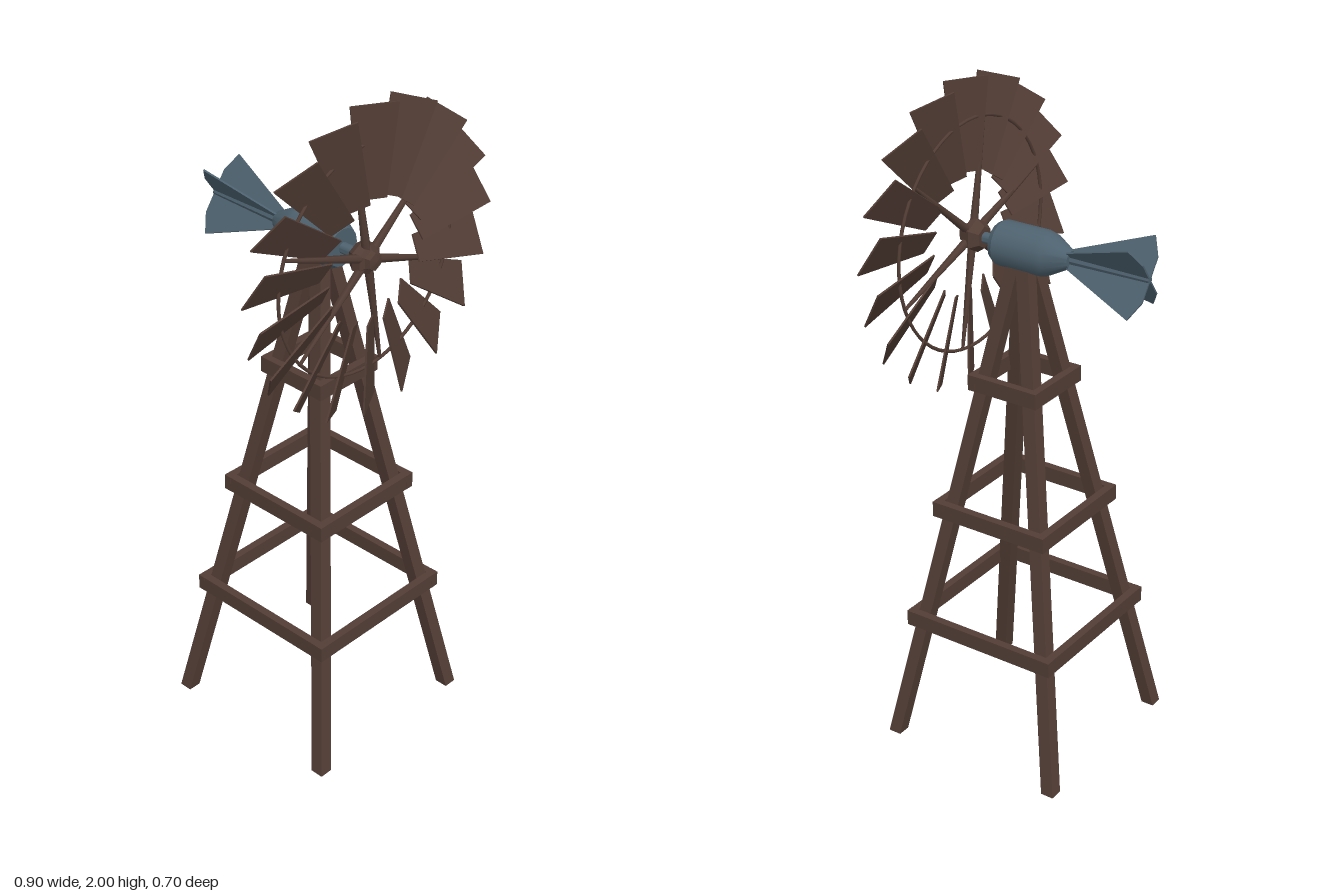
import * as THREE from 'three';
import { toCreasedNormals } from 'three/addons/utils/BufferGeometryUtils.js';

const HUB_Y = 1.555;   // height of the wheel axis
const TOWER_Z = 0.05;  // tower centre line
const WHEEL_Z = 0.238; // middle plane of the blades

const flat = (color, name) => {
  const m = new THREE.MeshStandardMaterial({ color });
  m.name = name;
  return m;
};

// Thin plate cut from an outline, centred on its own plane
function plate(points, thickness) {
  const shape = new THREE.Shape(points.map(([x, y]) => new THREE.Vector2(x, y)));
  return new THREE.ExtrudeGeometry(shape, { depth: thickness, bevelEnabled: false })
    .translate(0, 0, -thickness / 2);
}

// Turned profile of [radius, z] pairs, lying along the z axis
function turned(profile, sides, crease = 0.5) {
  const g = new THREE.LatheGeometry(profile.map(([r, z]) => new THREE.Vector2(r, z)), sides);
  return toCreasedNormals(g.rotateX(Math.PI / 2), crease);
}

export function createModel() {
  const root = new THREE.Group();
  root.name = 'windPump';
  const wood = flat(0x523d35, 'brown wood');
  const metal = flat(0x4d616e, 'blue grey metal');

  const add = (parent, name, geometry, material) => {
    const mesh = new THREE.Mesh(geometry, material);
    mesh.name = name;
    parent.add(mesh);
    return mesh;
  };

  // Tower: four square legs leaning inward, with level feet
  const tower = new THREE.Group();
  tower.name = 'tower';
  tower.position.z = TOWER_Z;
  root.add(tower);
  const legHeight = 1.51;
  for (const sx of [-1, 1]) {
    for (const sz of [-1, 1]) {
      const g = new THREE.BoxGeometry(0.04, legHeight, 0.04).translate(0, legHeight / 2, 0);
      const p = g.attributes.position;
      for (let i = 0; i < p.count; i++) {
        const off = 0.28 - 0.264 * p.getY(i) / legHeight;
        p.setX(i, p.getX(i) + sx * off);
        p.setZ(i, p.getZ(i) + sz * off);
      }
      g.computeVertexNormals();
      add(tower, 'leg', g, wood);
    }
  }

  // Three square frames of braces around the legs
  for (const [y, r] of [[0.4, 0.24], [0.762, 0.18], [1.16, 0.103]]) {
    for (let k = 0; k < 4; k++) {
      const brace = add(tower, 'brace', new THREE.BoxGeometry(2 * r + 0.025, 0.047, 0.024)
        .translate(0, 0, r).rotateY(k * Math.PI / 2), wood);
      brace.position.y = y;
    }
  }

  // Wheel: pitched blades, spokes, ring and hub
  const wheel = new THREE.Group();
  wheel.name = 'wheel';
  wheel.position.set(0, HUB_Y, WHEEL_Z);
  root.add(wheel);
  const bladeGeo = plate([[-0.038, 0.18], [0.038, 0.18], [0.066, 0.445], [-0.066, 0.445]], 0.005)
    .rotateY(-Math.PI / 6);
  for (let i = 0; i < 18; i++) {
    add(wheel, 'blade', bladeGeo, wood).rotation.z = i * Math.PI / 9;
  }
  const spokeGeo = new THREE.CylinderGeometry(0.005, 0.013, 0.31, 6).translate(0, 0.18, -0.015);
  for (let i = 0; i < 6; i++) {
    add(wheel, 'spoke', spokeGeo, wood).rotation.z = Math.PI / 18 + i * Math.PI / 3;
  }
  add(wheel, 'ring', new THREE.TorusGeometry(0.335, 0.005, 6, 54).translate(0, 0, -0.015), wood);
  add(wheel, 'hub', turned([[0, -0.055], [0.032, -0.055], [0.05, -0.03], [0.045, -0.008],
    [0.03, 0.0], [0.026, 0.014], [0, 0.018]], 6, 0.3), wood);

  // Gearbox housing behind the wheel, with its shaft
  const head = new THREE.Group();
  head.name = 'head';
  head.position.y = HUB_Y;
  root.add(head);
  add(head, 'housing', turned([[0, -0.105], [0.025, -0.105], [0.06, -0.04], [0.065, -0.02],
    [0.065, 0.118], [0.055, 0.135], [0, 0.135]], 16), metal);
  add(head, 'shaft', turned([[0, 0.12], [0.016, 0.12], [0.016, 0.19], [0, 0.19]], 10, 0.8), metal);

  // Tail: central rod with four crossed fins
  add(head, 'tailRod', turned([[0, -0.353], [0.01, -0.353], [0.014, -0.1], [0, -0.1]], 8, 0.3), metal);
  const finOutline = [[0, -0.09], [0, -0.353], [0.065, -0.353], [0.12, -0.325], [0.025, -0.09]];
  for (const a of [55, 125, 235, 305]) {
    const fin = plate(finOutline, 0.005).rotateX(Math.PI / 2);
    add(head, 'tailFin', fin.rotateZ(THREE.MathUtils.degToRad(a)), metal);
  }

  return root;
}
